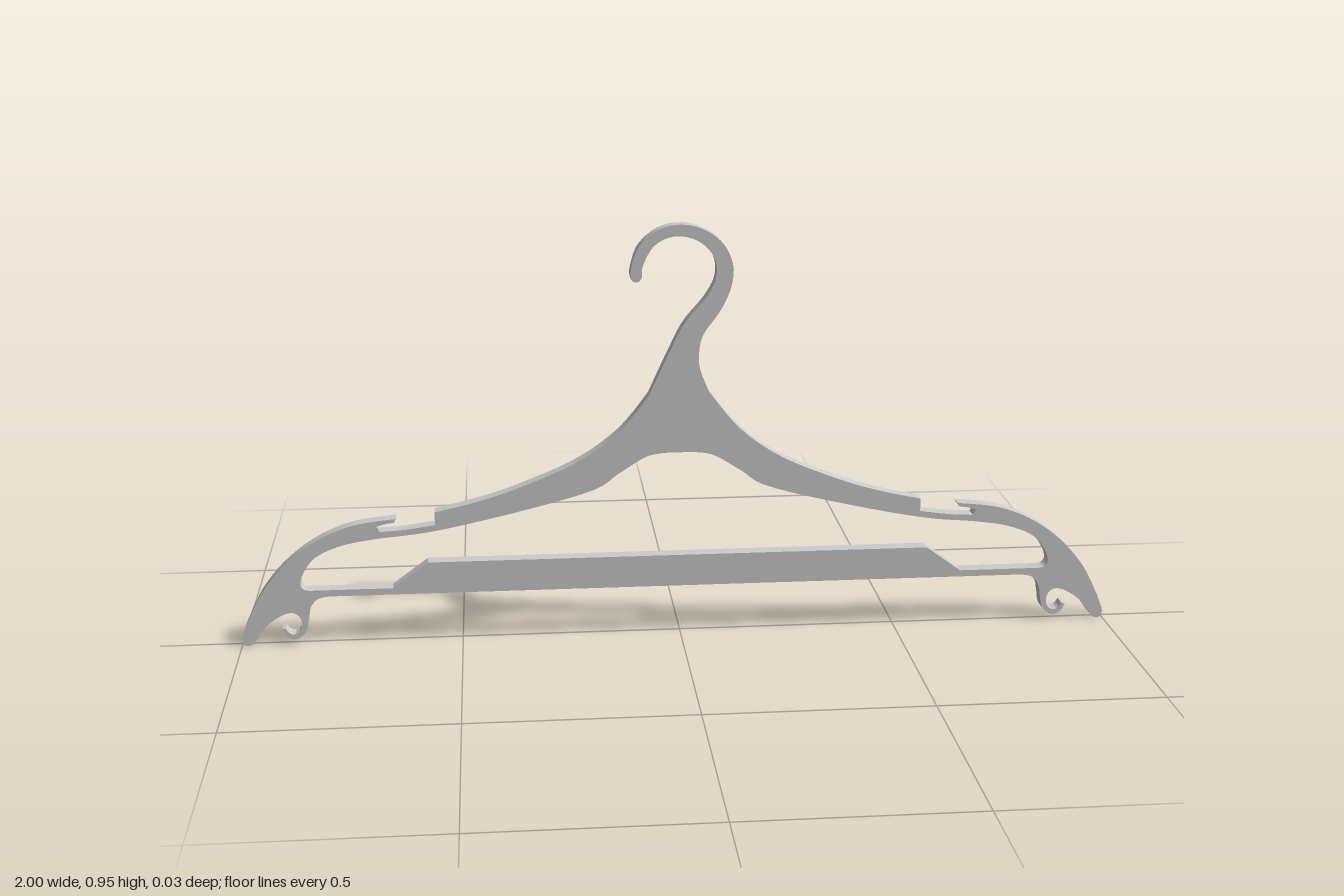
import * as THREE from 'three';
import { toCreasedNormals } from 'three/addons/utils/BufferGeometryUtils.js';

const DEPTH = 0.034;
const material = new THREE.MeshStandardMaterial({ color: 0xcccccc });

// Flat plate from outline runs: each run is a smooth curve (or a line when it
// has one point), with sharp corners between runs. side = -1 mirrors it.
function plate(name, start, runs, side = 1) {
  const shape = new THREE.Shape();
  shape.moveTo(start[0] * side, start[1]);
  for (const run of runs) {
    const pts = run.map(([x, y]) => new THREE.Vector2(x * side, y));
    if (pts.length === 1) shape.lineTo(pts[0].x, pts[0].y);
    else shape.splineThru(pts);
  }
  shape.closePath();
  const geo = new THREE.ExtrudeGeometry(shape, { depth: DEPTH, bevelEnabled: false, curveSegments: 4 });
  geo.translate(0, 0, -DEPTH / 2);
  const mesh = new THREE.Mesh(toCreasedNormals(geo, 0.6), material);
  mesh.name = name;
  return mesh;
}

export function createModel() {
  const group = new THREE.Group();
  group.name = 'coatHanger';

  // Hook with its S-shaped neck
  group.add(plate('hook', [0.066, 0.57], [
    [[0.045, 0.625], [0.043, 0.665], [0.053, 0.705], [0.09, 0.757], [0.114, 0.81], [0.118, 0.86],
      [0.096, 0.908], [0.054, 0.94], [0.002, 0.952], [-0.05, 0.94], [-0.092, 0.903], [-0.109, 0.855], [-0.11, 0.834]],
    [[-0.105, 0.827], [-0.097, 0.825], [-0.09, 0.827], [-0.085, 0.834]],
    [[-0.082, 0.862], [-0.062, 0.9], [-0.034, 0.92], [0.002, 0.926], [0.045, 0.912], [0.076, 0.877],
      [0.08, 0.832], [0.056, 0.785], [0.01, 0.73], [-0.024, 0.665], [-0.068, 0.57]],
  ]));

  // Shoulder arms, each with strap notch, drooping tip and small curl
  for (const side of [1, -1]) {
    group.add(plate(side > 0 ? 'leftArm' : 'rightArm', [0, 0.432], [
      // underside of the arm and end of the opening
      [[0.04, 0.431], [0.08, 0.422], [0.14, 0.385], [0.2, 0.347], [0.366, 0.302], [0.56, 0.261], [0.687, 0.247],
        [0.767, 0.233], [0.826, 0.207], [0.855, 0.17], [0.863, 0.145], [0.857, 0.132], [0.843, 0.128]],
      [[0.8, 0.128]],
      [[0.8, 0.113]],
      // curl, outer then inner edge
      [[0.826, 0.107], [0.842, 0.088], [0.848, 0.062], [0.852, 0.036], [0.864, 0.019], [0.882, 0.012], [0.899, 0.02], [0.909, 0.037]],
      [[0.901, 0.039]],
      [[0.893, 0.028], [0.881, 0.024], [0.868, 0.032], [0.863, 0.05], [0.87, 0.068], [0.887, 0.076], [0.912, 0.068], [0.944, 0.045], [0.97, 0.01]],
      // rounded tip and outer shoulder
      [[0.978, 0.002], [0.988, 0], [0.997, 0.005], [1, 0.018]],
      [[0.982, 0.064], [0.946, 0.132], [0.89, 0.197], [0.82, 0.248], [0.74, 0.28], [0.643, 0.293]],
      // strap notch
      [[0.648, 0.284]],
      [[0.665, 0.282], [0.687, 0.276]],
      [[0.68, 0.263]],
      [[0.62, 0.267], [0.556, 0.276]],
      [[0.556, 0.306]],
      // upper edge up to the neck
      [[0.46, 0.328], [0.366, 0.358], [0.233, 0.415], [0.136, 0.485], [0.067, 0.57]],
      [[0, 0.57]],
    ], side));
  }

  // Trouser bar, thin at both ends
  group.add(plate('trouserBar', [-0.8, 0.113], [
    [[0.8, 0.113]], [[0.8, 0.128]], [[0.655, 0.128]], [[0.575, 0.187]],
    [[-0.575, 0.187]], [[-0.655, 0.128]], [[-0.8, 0.128]],
  ]));
  return group;
}
